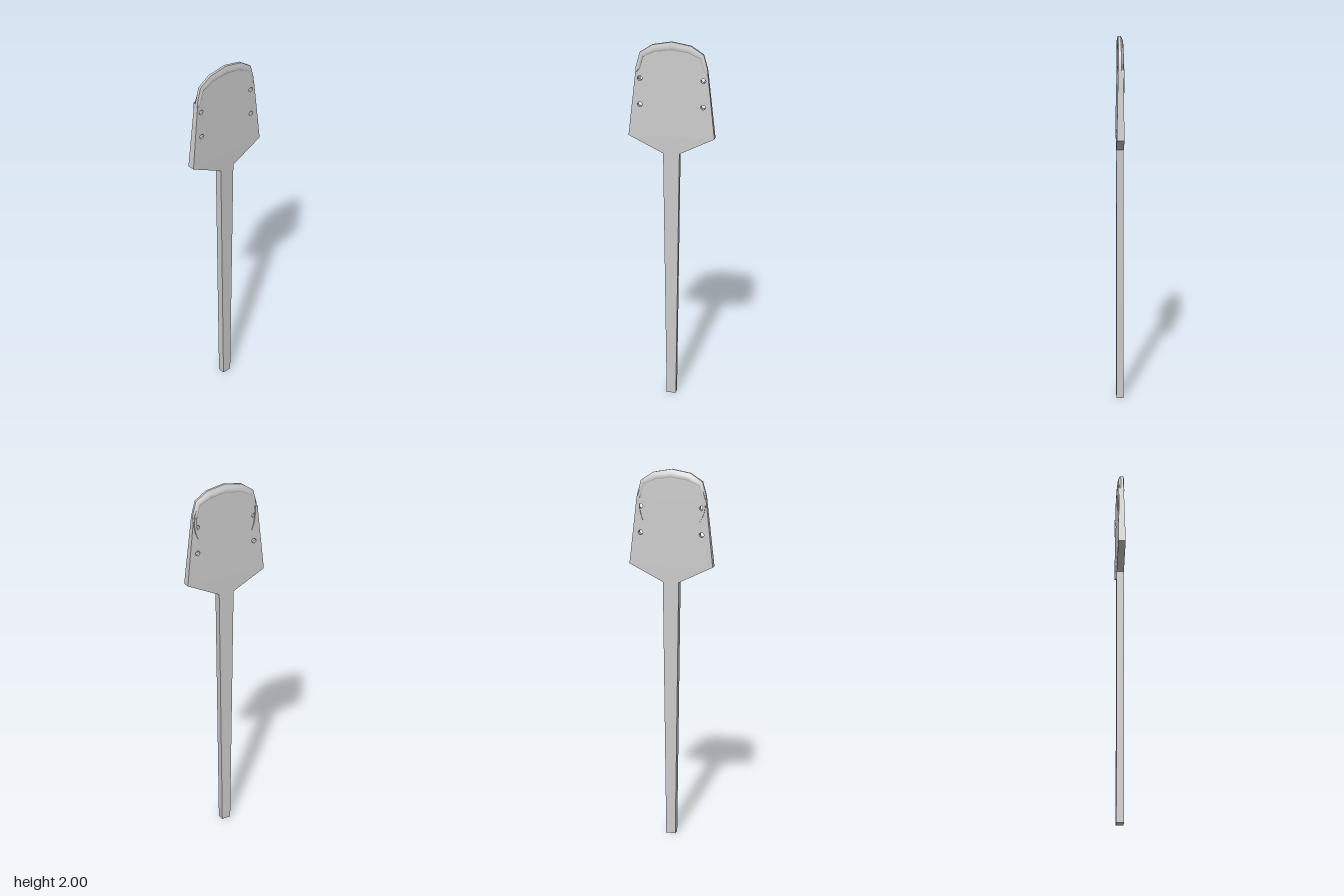
import * as THREE from 'three';

const HALF = 0.0195; // half thickness of handle and blade root
const material = new THREE.MeshStandardMaterial({ color: 0xcccccc });
const thinMaterial = new THREE.MeshStandardMaterial({ color: 0xcccccc, side: THREE.DoubleSide });

function addMesh(group, name, geometry, mat = material) {
  const mesh = new THREE.Mesh(geometry, mat);
  mesh.name = name;
  group.add(mesh);
}

// Square handle, narrower at the foot
function handleGeometry() {
  const height = 1.41;
  const geo = new THREE.BoxGeometry(1, height, 2 * HALF).translate(0, height / 2, 0);
  const pos = geo.attributes.position;
  for (let i = 0; i < pos.count; i++) {
    const half = THREE.MathUtils.lerp(0.026, 0.043, pos.getY(i) / height);
    pos.setX(i, 2 * half * pos.getX(i));
  }
  geo.computeVertexNormals();
  return geo;
}

// Flat blade with four drilled holes, thinning towards the cutting edge
function bladeGeometry() {
  const half = [[0.043, 1.41], [0.226, 1.5], [0.187, 1.845], [0.156, 1.925], [0.093, 1.962]];
  const mirrored = half.map(([x, y]) => [-x, y]).reverse();
  const outline = [...half, [0, 1.975], ...mirrored].map(([x, y]) => new THREE.Vector2(x, y));
  const shape = new THREE.Shape(outline);
  for (const x of [-0.165, 0.165]) {
    for (const y of [1.667, 1.805]) {
      shape.holes.push(new THREE.Path().absarc(x, y, 0.013, 0, Math.PI * 2, true));
    }
  }
  const geo = new THREE.ExtrudeGeometry(shape, { depth: 1, bevelEnabled: false, curveSegments: 5 });
  const pos = geo.attributes.position;
  for (let i = 0; i < pos.count; i++) {
    const t = THREE.MathUtils.clamp((pos.getY(i) - 1.5) / 0.5, 0, 1);
    const front = THREE.MathUtils.lerp(HALF, 0.009, t);
    const back = THREE.MathUtils.lerp(-HALF, -0.012, t);
    pos.setZ(i, pos.getZ(i) > 0.5 ? front : back);
  }
  geo.computeVertexNormals();
  return geo;
}

// Curved cutting rim wrapped over the top: a section swept along the arc
function rimGeometry() {
  // inner x, y, outer x, y on the left half
  const half = [
    [0.181, 1.838, 0.188, 1.835],
    [0.165, 1.855, 0.186, 1.865],
    [0.148, 1.918, 0.165, 1.94],
    [0.085, 1.946, 0.1, 1.982],
  ];
  const stations = [
    ...half.map(([a, b, c, d]) => [-a, b, -c, d]),
    [0, 1.958, 0, 2],
    ...half.slice().reverse(),
  ];
  // strips of (position from inner to outer, z): front, edge, back
  const strips = [
    [[0, 0.011], [0.2, 0.015], [0.55, 0.014], [1, 0.01]],
    [[1, 0.01], [1, -0.004]],
    [[1, -0.004], [0.55, -0.014], [0.2, -0.017], [0, -0.014]],
  ];
  const points = [], index = [];
  for (const strip of strips) {
    const base = points.length / 3, n = strip.length;
    stations.forEach(([ix, iy, ox, oy], s) => {
      strip.forEach(([t, z], j) => {
        points.push(THREE.MathUtils.lerp(ix, ox, t), THREE.MathUtils.lerp(iy, oy, t), z);
        if (s < stations.length - 1 && j < n - 1) {
          const a = base + s * n + j;
          index.push(a, a + n, a + 1, a + 1, a + n, a + n + 1);
        }
      });
    });
  }
  const geo = new THREE.BufferGeometry();
  geo.setAttribute('position', new THREE.Float32BufferAttribute(points, 3));
  geo.setIndex(index);
  geo.computeVertexNormals();
  return geo;
}

// Thin crescent prong running down the back from the end of the rim
function prongGeometry(side) {
  const shape = new THREE.Shape();
  shape.moveTo(side * 0.168, 1.858);
  shape.lineTo(side * 0.185, 1.855);
  shape.quadraticCurveTo(side * 0.188, 1.77, side * 0.15, 1.73);
  shape.quadraticCurveTo(side * 0.175, 1.785, side * 0.168, 1.858);
  return new THREE.ExtrudeGeometry(shape, { depth: 0.009, bevelEnabled: false, curveSegments: 8 })
    .translate(0, 0, -0.0205);
}

export function createModel() {
  const group = new THREE.Group();
  group.name = 'spade';
  addMesh(group, 'handle', handleGeometry());
  addMesh(group, 'blade', bladeGeometry());
  addMesh(group, 'cuttingRim', rimGeometry(), thinMaterial);
  addMesh(group, 'leftProng', prongGeometry(1));
  addMesh(group, 'rightProng', prongGeometry(-1));
  return group;
}
